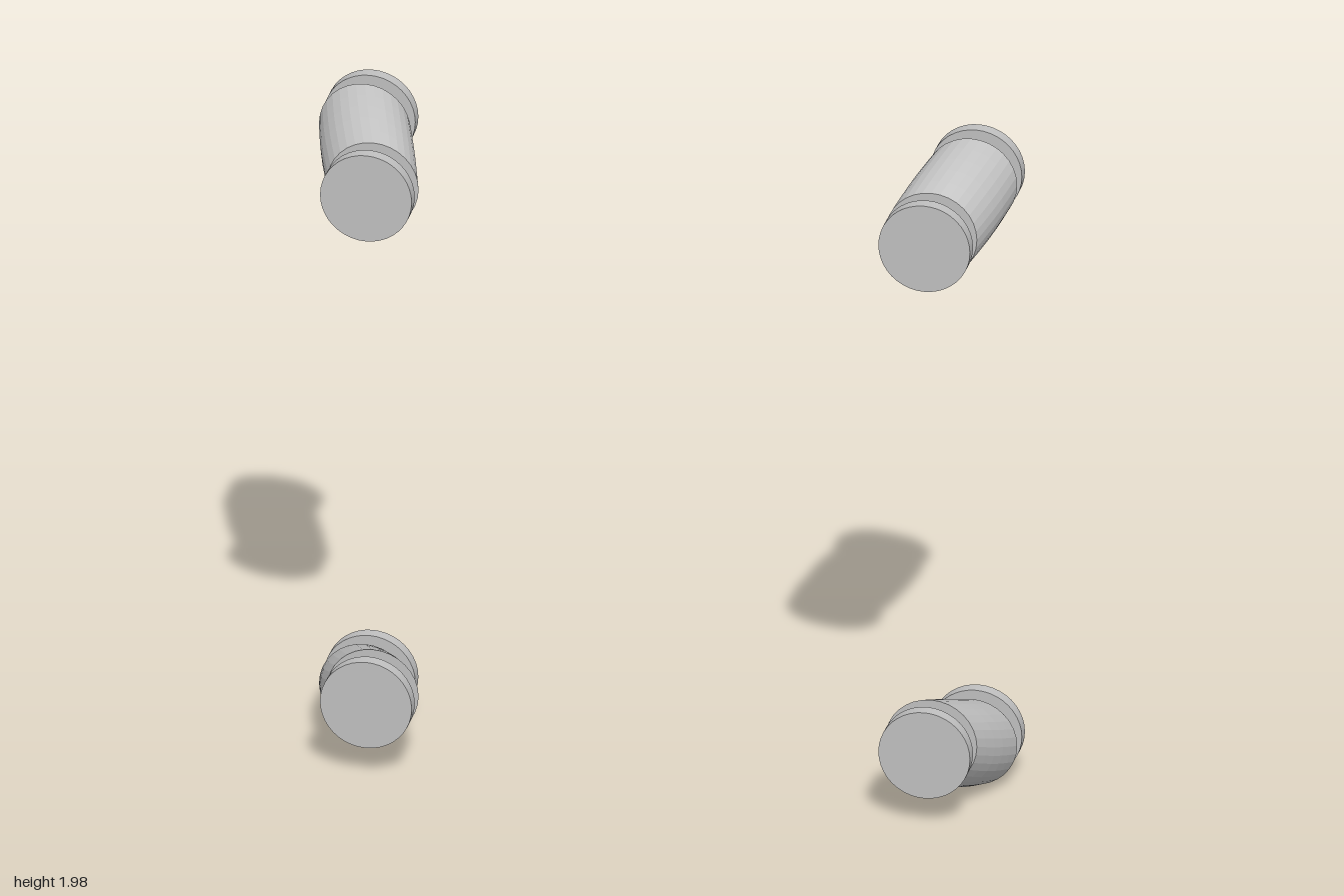
import * as THREE from 'three';

const MID_Y = 0.989;
const FRONT = { x: 0.798, y: 0.775 }; // axis offset of the front end
const BACK = { x: 0.867, y: 0.857 }; // axis offset of the back end
const R = 0.131, NECK_R = 0.075;
const Z_FRONT = 0.11, Z_BACK = -0.1;

const grey = new THREE.MeshStandardMaterial({ color: 0xc0c0c0 });
grey.name = 'grey';

// Straight disc along z, between two depths
function disc(name, end, sx, sy, radius, z0, z1) {
  const geo = new THREE.CylinderGeometry(radius, radius, z1 - z0, 40);
  geo.rotateX(Math.PI / 2);
  const mesh = new THREE.Mesh(geo, grey);
  mesh.position.set(sx * end.x, MID_Y + sy * end.y, (z0 + z1) / 2);
  mesh.name = name;
  return mesh;
}

// Slanted, slightly bulging barrel joining the front axis to the back axis
function barrel(sx, sy) {
  const length = Z_FRONT - Z_BACK;
  let geo = new THREE.CylinderGeometry(R, R, length, 32, 5);
  geo.rotateX(Math.PI / 2);
  geo.translate(0, 0, (Z_FRONT + Z_BACK) / 2);
  const p = geo.attributes.position;
  for (let i = 0; i < p.count; i++) {
    const t = (Z_FRONT - p.getZ(i)) / length;
    const bulge = Math.sin(Math.PI * t);
    const k = 1 + 0.03 * bulge;
    const s = t + 0.03 * bulge;
    p.setX(i, p.getX(i) * k + sx * THREE.MathUtils.lerp(FRONT.x, BACK.x, s));
    p.setY(i, p.getY(i) * k + MID_Y + sy * THREE.MathUtils.lerp(FRONT.y, BACK.y, s));
  }
  // Faceted normals
  geo = geo.toNonIndexed();
  geo.computeVertexNormals();
  const mesh = new THREE.Mesh(geo, grey);
  mesh.name = 'barrel';
  return mesh;
}

export function createModel() {
  const model = new THREE.Group();
  model.name = 'fourSpacers';
  for (const sx of [-1, 1]) {
    for (const sy of [-1, 1]) {
      const spacer = new THREE.Group();
      spacer.name = (sy > 0 ? 'upper' : 'lower') + (sx > 0 ? 'Left' : 'Right') + 'Spacer';
      spacer.add(
        disc('frontFlange', FRONT, sx, sy, R, 0.16, 0.2),
        disc('frontNeck', FRONT, sx, sy, NECK_R, Z_FRONT, 0.16),
        barrel(sx, sy),
        disc('backNeck', BACK, sx, sy, NECK_R, -0.16, Z_BACK),
        disc('backFlange', BACK, sx, sy, R, -0.2, -0.16)
      );
      model.add(spacer);
    }
  }
  return model;
}
